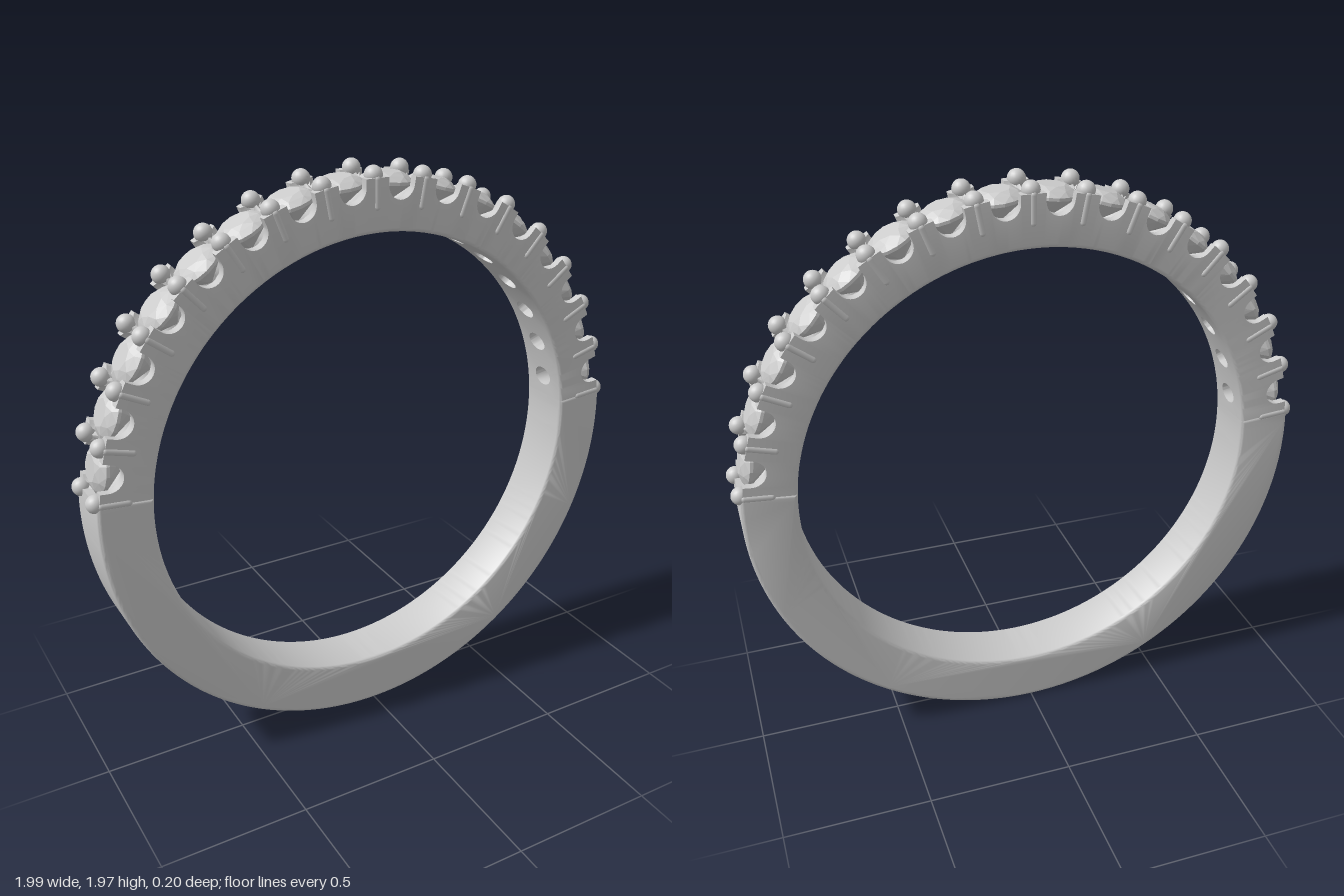
import * as THREE from 'three';
import { mergeGeometries, toCreasedNormals } from 'three/addons/utils/BufferGeometryUtils.js';
import { ConvexGeometry } from 'three/addons/geometries/ConvexGeometry.js';

const CENTRE = 0.975, R_IN = 0.79, R_OUT = 0.97, HALF_W = 0.098, EDGE = 0.014;
const STONES = 16, STEP = THREE.MathUtils.degToRad(10.65), REF = 0.94;
const HALF_S = (STEP / 2) * REF, RIM = 0.084, HOLE = 0.042;
const NOTCH = 0.047, NOTCH_Y = 0.938, SPAN = (STONES * STEP) / 2;

// Height of the band's outside at (s, z): seat cone, side notches and top
function seatHeight(s, z) {
  const d = Math.hypot(s, z);
  let h = Math.abs(z) < 0.045 ? 0.94 : 0.963;
  if (d <= RIM + 1e-4) h = 0.86 + ((d - HOLE) / (RIM - HOLE)) * 0.068;
  if (Math.abs(s) <= NOTCH + 1e-5) h = Math.min(h, NOTCH_Y - Math.sqrt(Math.max(0, NOTCH ** 2 - s * s)));
  return h;
}

// One drilled, notched band section, lofted through closed loops
function seatGeometry() {
  const front = [];
  front.push([-HALF_S, HALF_W], [-NOTCH - 0.0005, HALF_W]);
  for (let i = -6; i <= 6; i++) front.push([NOTCH * Math.sin((i / 6) * Math.PI / 2), HALF_W]);
  front.push([NOTCH + 0.0005, HALF_W]);
  const side = [1, 0.75, 0.5, 0.25, 0, -0.25, -0.5, -0.75].map(t => [HALF_S, t * HALF_W]);
  const half = [...front, ...side];
  const edge = [...half, ...half.map(([s, z]) => [-s, -z])];

  const onCircle = r => edge.map(([s, z]) => {
    const d = Math.hypot(s, z);
    return [s / d * r, z / d * r];
  });
  // keeps the notch walls straight between the side face and the seat rim
  const onRim = r => edge.map(([s, z]) => {
    const d = Math.hypot(s, z);
    return Math.abs(z) === HALF_W && Math.abs(s) < NOTCH + 0.001
      ? [s, Math.sign(z) * Math.sqrt(r * r - s * s)] : [s / d * r, z / d * r];
  });
  const hole = onCircle(HOLE), rim = onRim(RIM), lip = onRim(RIM + 0.0006);
  const at = (pts, r) => pts.map(([s, z]) => [s, r, z]);
  const raised = pts => pts.map(([s, z]) => [s, seatHeight(s, z), z]);
  const loops = [at(hole, R_IN)];
  for (let i = 0; i <= 4; i++) {
    const a = (i / 4) * Math.PI / 2, w = HALF_W - EDGE + EDGE * Math.sin(a);
    loops.push(at(edge.map(([s, z]) => [s, THREE.MathUtils.clamp(z, -w, w)]), R_IN + EDGE * (1 - Math.cos(a))));
  }
  loops.push(raised(edge), raised(lip));
  for (let i = 0; i <= 4; i++) {
    loops.push(raised(rim.map(([s, z], k) => [
      THREE.MathUtils.lerp(s, hole[k][0], i / 4), THREE.MathUtils.lerp(z, hole[k][1], i / 4)])));
  }
  loops.push(at(hole, R_IN));

  const n = edge.length, pos = [], idx = [];
  for (const loop of loops) for (const [s, r, z] of loop) {
    pos.push(r * Math.sin(s / REF), r * Math.cos(s / REF), z);
  }
  for (let j = 0; j < loops.length - 1; j++) for (let k = 0; k < n; k++) {
    const a = j * n + k, b = j * n + (k + 1) % n;
    idx.push(a, b, b + n, a, b + n, a + n);
  }
  const g = new THREE.BufferGeometry();
  g.setAttribute('position', new THREE.Float32BufferAttribute(pos, 3));
  g.setIndex(idx);
  return g;
}

// Faceted round stone: table, crown, girdle, pavilion, point
function stoneGeometry() {
  const pts = [];
  const ring = (n, r, y, turn = 0) => {
    for (let i = 0; i < n; i++) {
      const a = ((i + turn) / n) * Math.PI * 2;
      pts.push(new THREE.Vector3(r * Math.cos(a), y, r * Math.sin(a)));
    }
  };
  ring(8, 0.046, 0.966);
  ring(8, 0.068, 0.956, 0.5);
  ring(16, 0.085, 0.941);
  ring(16, 0.085, 0.931);
  ring(8, 0.05, 0.899, 0.5);
  pts.push(new THREE.Vector3(0, 0.86, 0));
  return new ConvexGeometry(pts);
}

// Plain lower part of the band
function shankGeometry() {
  const shape = new THREE.Shape(), a0 = Math.PI / 2 + SPAN - 0.004, a1 = Math.PI * 2.5 - SPAN + 0.004;
  shape.absarc(0, 0, R_OUT + 0.003, a0, a1, false);
  shape.absarc(0, 0, R_IN, a1, a0, true);
  const g = new THREE.ExtrudeGeometry(shape, {
    depth: 2 * (HALF_W - EDGE), curveSegments: 96, bevelEnabled: true,
    bevelThickness: EDGE, bevelSize: EDGE, bevelOffset: -EDGE, bevelSegments: 4,
  });
  g.translate(0, 0, -(HALF_W - EDGE));
  return toCreasedNormals(g, 0.6);
}

export function createModel() {
  const model = new THREE.Group();
  model.name = 'ring';
  const ring = new THREE.Group();
  ring.name = 'ringBody';
  ring.position.y = CENTRE;
  model.add(ring);
  const metal = new THREE.MeshStandardMaterial({ color: 0xcccccc });
  const gem = new THREE.MeshStandardMaterial({ color: 0xcccccc, flatShading: true });
  const add = (parent, name, geometry, material = metal) => {
    const mesh = new THREE.Mesh(geometry, material);
    mesh.name = name;
    parent.add(mesh);
    return mesh;
  };

  add(ring, 'shank', shankGeometry());

  // Stone settings along the upper arc
  const seat = seatGeometry(), seats = [], stone = stoneGeometry();
  for (let i = 0; i < STONES; i++) {
    const turn = SPAN - (i + 0.5) * STEP;
    seats.push(seat.clone().rotateZ(turn));
    add(ring, 'stone', stone, gem).rotation.z = turn;
  }
  add(ring, 'settingBand', toCreasedNormals(mergeGeometries(seats), 0.6));

  // Prong pairs between the stones: bead, short post and rib on the side face
  const bead = new THREE.SphereGeometry(0.03, 20, 14);
  const post = new THREE.CylinderGeometry(0.024, 0.024, 0.07, 16);
  const rib = new THREE.CapsuleGeometry(0.014, 0.085, 6, 12);
  for (let i = 0; i <= STONES; i++) {
    const pair = new THREE.Group();
    pair.name = 'prongPair';
    pair.rotation.z = SPAN - i * STEP;
    for (const side of [1, -1]) {
      add(pair, 'prongBead', bead).position.set(0, 0.968, side * 0.069);
      add(pair, 'prongPost', post).position.set(0, 0.935, side * 0.072);
      add(pair, 'prongRib', rib).position.set(0, 0.915, side * 0.0885);
    }
    ring.add(pair);
  }
  return model;
}
